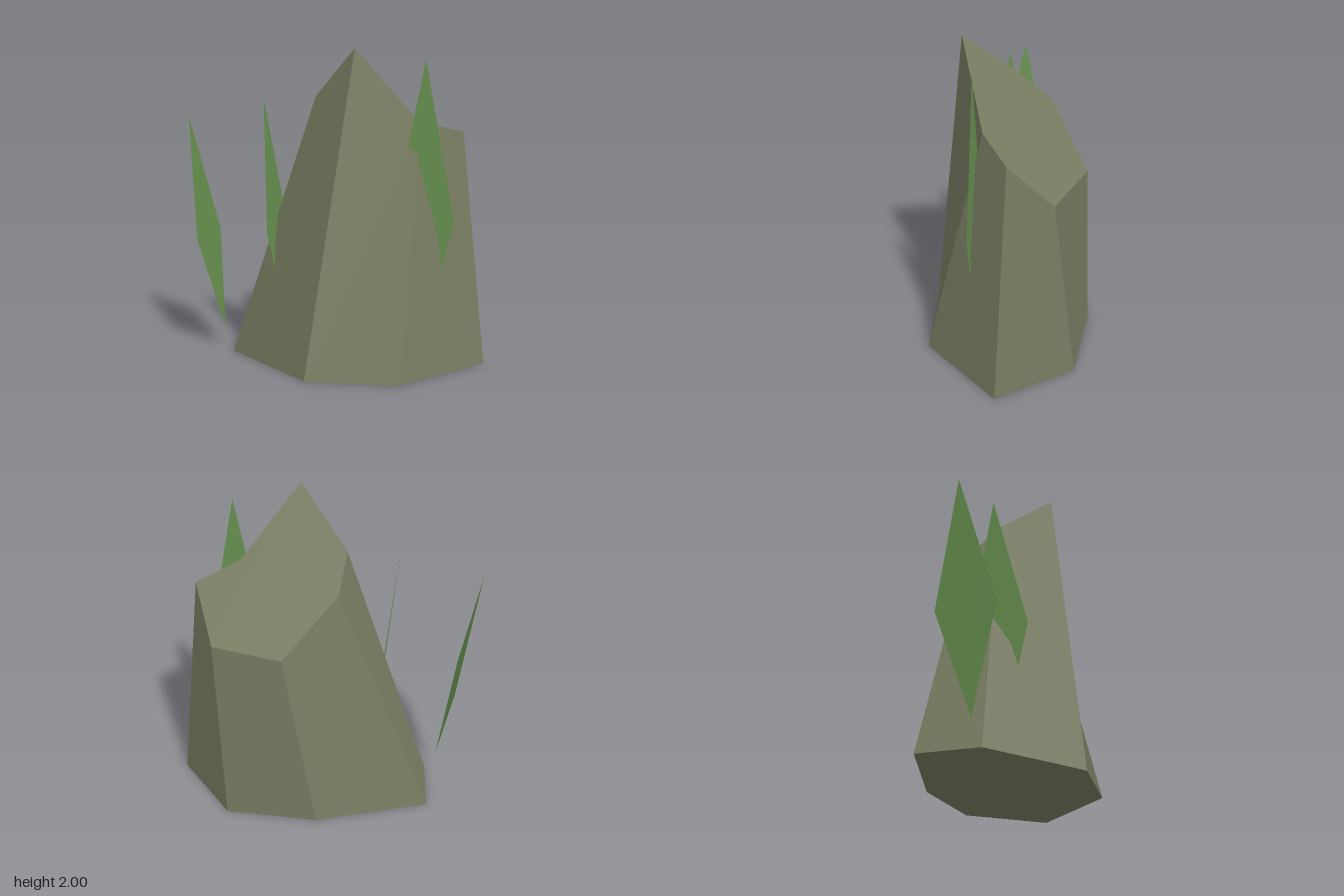
import * as THREE from 'three';

const stone = new THREE.MeshStandardMaterial({ color: 0x777b60 });
stone.name = 'mossy stone';
const leafGreen = new THREE.MeshStandardMaterial({ color: 0x689250, side: THREE.DoubleSide });
leafGreen.name = 'leaf green';

// Seven-sided rock: each footprint corner [x, z] pairs with a corner [x, y, z] of the slanted top
const footprint = [
  [-0.66, 0.13], [-0.05, 0.52], [0.52, 0.43], [0.95, -0.10],
  [0.57, -0.52], [-0.01, -0.52], [-0.70, -0.26],
];
const slantedTop = [
  [-0.13, 1.68, 0.0], [0.19, 2.0, 0.25], [0.54, 1.55, 0.05], [0.78, 1.475, -0.14],
  [0.64, 1.18, -0.39], [0.19, 1.195, -0.51], [-0.11, 1.51, -0.24],
];

function makeRock() {
  const bottom = footprint.map(([x, z]) => new THREE.Vector3(x, 0, z));
  const top = slantedTop.map((p) => new THREE.Vector3(...p));
  const positions = [];
  const normals = [];

  // Each facet is a slightly bent polygon with one shared normal
  function addFacet(corners, triangles) {
    const normal = new THREE.Vector3();
    corners.forEach((p, i) => {
      normal.add(new THREE.Vector3().crossVectors(p, corners[(i + 1) % corners.length]));
    });
    normal.normalize();
    for (const i of triangles.flat()) {
      positions.push(...corners[i].toArray());
      normals.push(...normal.toArray());
    }
  }

  // Sides
  bottom.forEach((corner, i) => {
    const next = (i + 1) % bottom.length;
    addFacet([corner, bottom[next], top[next], top[i]], [[0, 1, 2], [0, 2, 3]]);
  });
  // Slanted top, with a shallow notch at its right front corner
  addFacet(top, [[2, 3, 4], [1, 2, 4], [1, 4, 5], [1, 5, 6], [1, 6, 0]]);
  // Underside
  addFacet([...bottom].reverse(), [[0, 1, 2], [0, 2, 3], [0, 3, 4], [0, 4, 5], [0, 5, 6]]);

  const geometry = new THREE.BufferGeometry();
  geometry.setAttribute('position', new THREE.Float32BufferAttribute(positions, 3));
  geometry.setAttribute('normal', new THREE.Float32BufferAttribute(normals, 3));
  const rock = new THREE.Mesh(geometry, stone);
  rock.name = 'rock';
  return rock;
}

// Flat diamond blade from its tip, two side corners and base
function makeLeaf(name, tip, sideA, base, sideB) {
  const geometry = new THREE.BufferGeometry().setFromPoints(
    [tip, sideA, base, sideB].map((p) => new THREE.Vector3(...p)),
  );
  geometry.setIndex([0, 1, 2, 0, 2, 3]);
  geometry.computeVertexNormals();
  const leaf = new THREE.Mesh(geometry, leafGreen);
  leaf.name = name;
  return leaf;
}

export function createModel() {
  const group = new THREE.Group();
  group.name = 'rockWithLeaves';
  group.add(
    makeRock(),
    makeLeaf('outerLeaf', [-0.95, 1.535, 0.095], [-0.83, 0.775, 0.285], [-0.73, 0.15, 0.095], [-0.83, 0.775, -0.095]),
    makeLeaf('innerLeaf', [-0.44, 1.67, 0.095], [-0.36, 0.85, 0.285], [-0.295, 0.16, 0.095], [-0.36, 0.85, -0.095]),
    makeLeaf('frontLeaf', [0.585, 1.93, 0.095], [0.395, 0.95, 0.095], [0.585, 0.19, 0.095], [0.775, 0.95, 0.095]),
  );
  return group;
}
